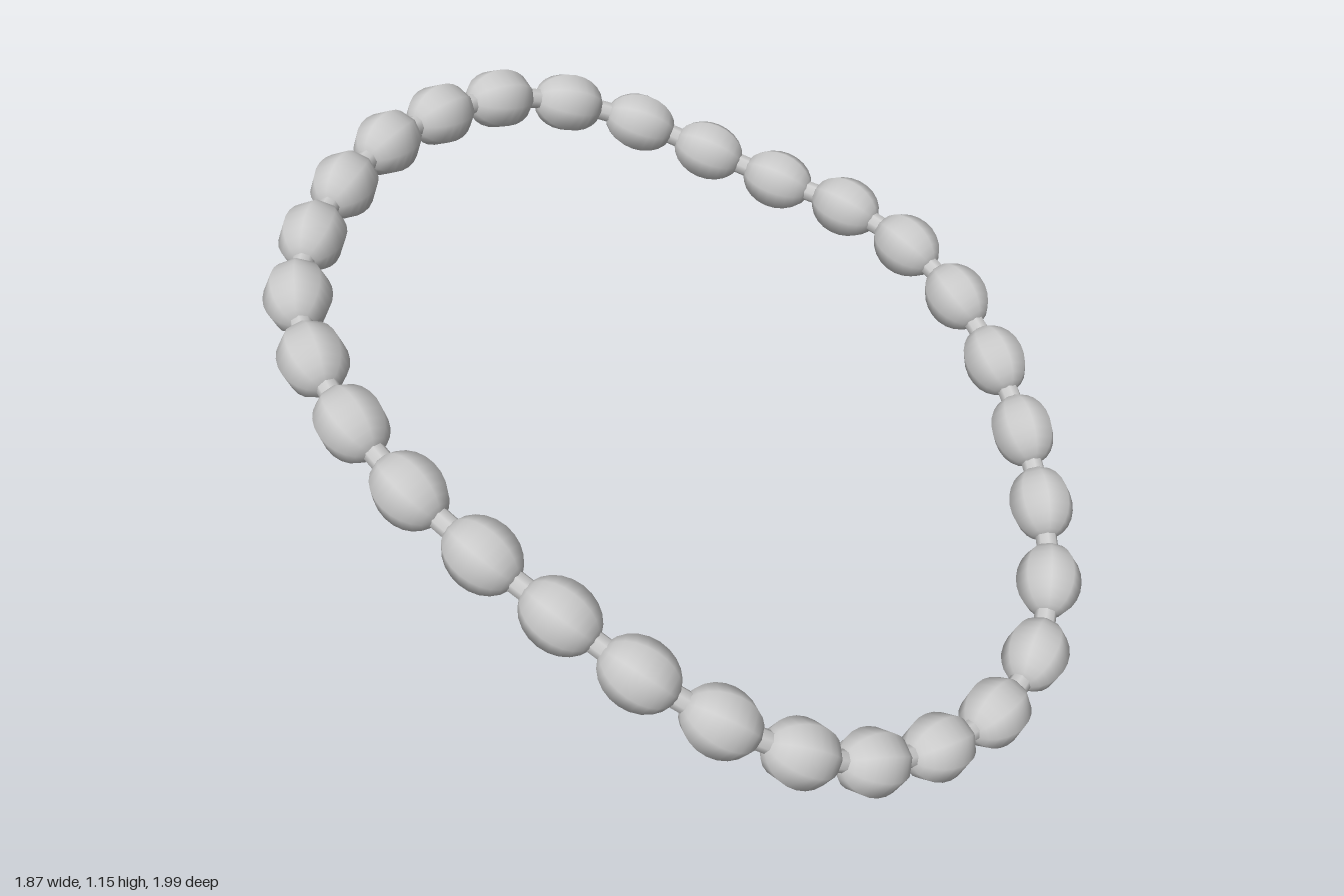
import * as THREE from 'three';

// Bead centres in order around the loop
const CENTRES = [
  [0.055, 1.075, -0.92], [0.257, 1.055, -0.91], [0.447, 1.0, -0.84], [0.595, 0.93, -0.71],
  [0.70, 0.857, -0.55], [0.785, 0.795, -0.37], [0.84, 0.757, -0.173], [0.85, 0.705, 0.03],
  [0.822, 0.63, 0.22], [0.76, 0.53, 0.393], [0.675, 0.42, 0.548], [0.57, 0.31, 0.685],
  [0.436, 0.205, 0.806], [0.262, 0.123, 0.889], [0.058, 0.087, 0.912], [-0.145, 0.105, 0.89],
  [-0.337, 0.165, 0.842], [-0.505, 0.264, 0.767], [-0.638, 0.377, 0.651], [-0.733, 0.487, 0.503],
  [-0.791, 0.587, 0.33], [-0.833, 0.678, 0.143], [-0.855, 0.765, -0.055], [-0.84, 0.845, -0.252],
  [-0.786, 0.91, -0.439], [-0.685, 0.965, -0.608], [-0.53, 1.015, -0.735], [-0.347, 1.05, -0.831],
  [-0.149, 1.075, -0.894],
];

export function createModel() {
  const group = new THREE.Group();
  group.name = 'beadedNecklace';
  const material = new THREE.MeshStandardMaterial({ color: 0xcccccc });
  const points = CENTRES.map((c) => new THREE.Vector3(...c));
  const n = points.length;

  // Cord running through all beads
  const curve = new THREE.CatmullRomCurve3(points, true, 'centripetal');
  const cord = new THREE.Mesh(new THREE.TubeGeometry(curve, n * 4, 0.027, 8, true), material);
  cord.name = 'cord';
  group.add(cord);

  // Eight-sided oval bead, long axis along y
  const beadGeometry = new THREE.SphereGeometry(1, 8, 12);
  beadGeometry.scale(0.081, 0.097, 0.081);

  const beads = new THREE.Group();
  beads.name = 'beads';
  group.add(beads);
  const up = new THREE.Vector3(0, 1, 0);
  points.forEach((p, i) => {
    // Each bead lies along the cord
    const along = points[(i + 1) % n].clone().sub(points[(i + n - 1) % n]).normalize();
    const side = along.clone().cross(up).normalize();
    const normal = side.clone().cross(along);
    const bead = new THREE.Mesh(beadGeometry, material);
    bead.name = `bead${i + 1}`;
    bead.position.copy(p);
    bead.quaternion.setFromRotationMatrix(new THREE.Matrix4().makeBasis(side, along, normal));
    beads.add(bead);
  });
  return group;
}
